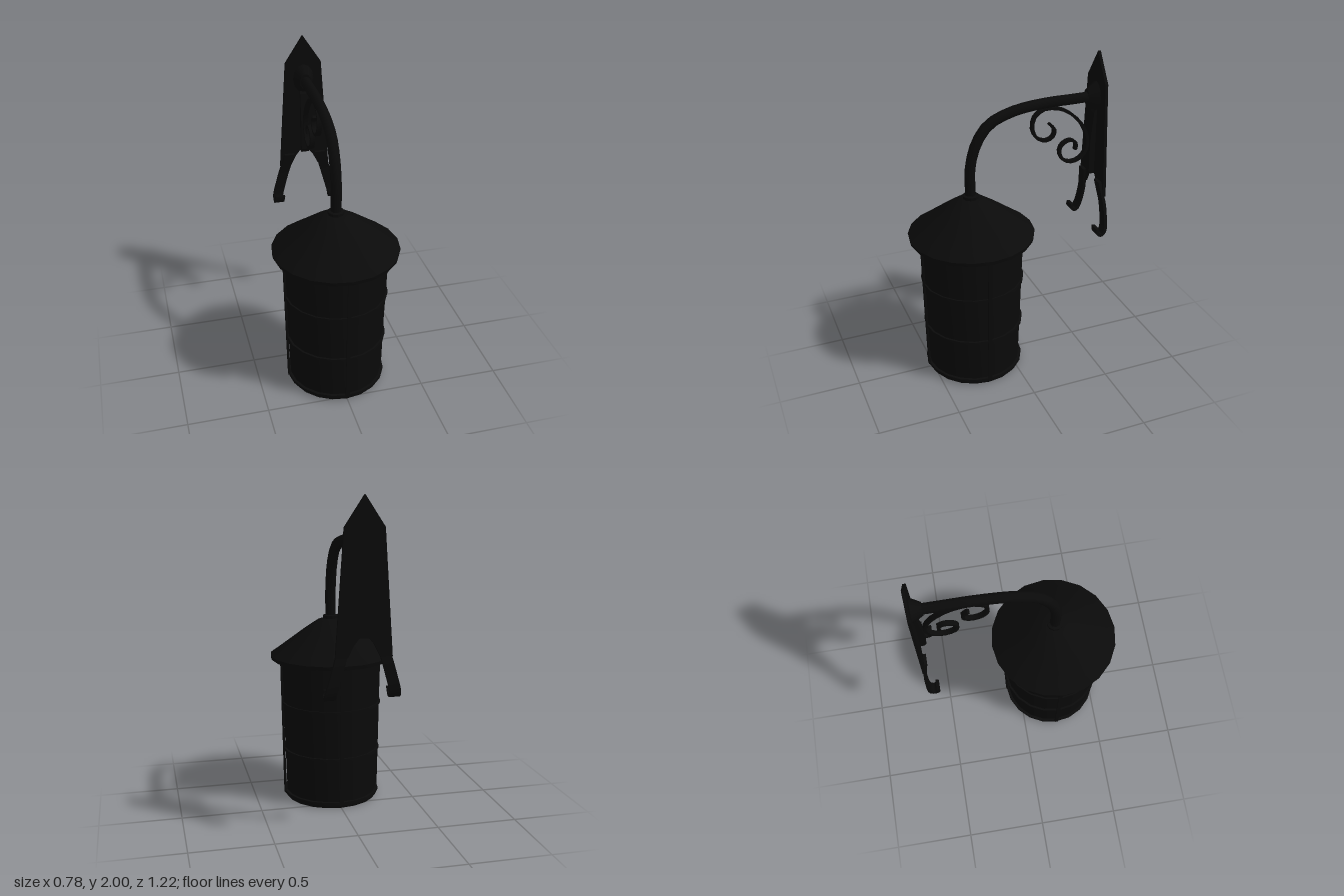
import * as THREE from 'three';
import { toCreasedNormals } from 'three/addons/utils/BufferGeometryUtils.js';

const AXIS_Z = 0.222; // lantern axis
const SIDES = 20;
const iron = new THREE.MeshStandardMaterial({ color: 0x0a0a0a });

function add(parent, name, geometry, x = 0, y = 0, z = 0) {
  const mesh = new THREE.Mesh(geometry, iron);
  mesh.name = name;
  mesh.position.set(x, y, z);
  parent.add(mesh);
  return mesh;
}

const lathe = (profile, sides = SIDES) => toCreasedNormals(
  new THREE.LatheGeometry(profile.map(([r, y]) => new THREE.Vector2(r, y)), sides), 0.6);

// Flat iron strip following a [z, y] path, with its width along x
function strip(path, thickness, width, samples) {
  const curve = new THREE.SplineCurve(path.map(([z, y]) => new THREE.Vector2(z, y)));
  const near = [], far = [];
  for (let i = 0; i <= samples; i++) {
    const p = curve.getPoint(i / samples), t = curve.getTangent(i / samples);
    const n = new THREE.Vector2(-t.y, t.x).multiplyScalar(thickness / 2);
    near.push(p.clone().add(n));
    far.unshift(p.clone().sub(n));
  }
  const g = new THREE.ExtrudeGeometry(new THREE.Shape([...near, ...far]), { depth: width, bevelEnabled: false });
  g.translate(0, 0, -width / 2).rotateY(-Math.PI / 2);
  return g;
}

function createLantern() {
  const lantern = new THREE.Group();
  lantern.name = 'lantern';
  lantern.position.z = AXIS_Z;

  add(lantern, 'roof', lathe([[0, 0.93], [0.335, 0.93], [0.385, 0.925], [0.391, 0.95], [0.335, 0.99],
    [0.17, 1.113], [0.085, 1.17], [0.05, 1.182], [0, 1.184]]));
  add(lantern, 'roofCollar', lathe([[0.05, 1.16], [0.05, 1.2], [0.03, 1.205]], 10));
  add(lantern, 'lampBody', lathe([[0.293, 0.02], [0.322, 0.935]]));
  add(lantern, 'base', lathe([[0, 0], [0.295, 0], [0.302, 0.012], [0.302, 0.03], [0, 0.03]]));

  // Hoops around the body
  for (const [r, y] of [[0.306, 0.032], [0.311, 0.325], [0.318, 0.635], [0.322, 0.92]]) {
    const w = 0.009;
    add(lantern, 'hoop', lathe([[r - 0.02, y - w], [r + 0.005, y - w], [r + 0.005, y + w], [r - 0.02, y + w]]));
  }

  // Upright bars, leaning out slightly toward the top
  for (let i = 0; i < 4; i++) {
    const pivot = new THREE.Group();
    pivot.name = 'uprightBar';
    pivot.rotation.y = i * Math.PI / 2;
    lantern.add(pivot);
    const bar = add(pivot, 'bar', new THREE.BoxGeometry(0.024, 0.91, 0.012), 0, 0.48, 0.316);
    bar.rotation.x = 0.018;
  }
  return lantern;
}

function createWallPlate() {
  const plate = new THREE.Group();
  plate.name = 'wallBracket';

  // Pointed back plate, notched between the legs
  const right = [[0.115, 1.825], [0.164, 1.11], [0.093, 1.11], [0.058, 1.18], [0.03, 1.215]];
  const outline = [[0, 2], ...right, [0, 1.225], ...right.map(([x, y]) => [-x, y]).reverse()];
  const shape = new THREE.Shape(outline.map(([x, y]) => new THREE.Vector2(x, y)));
  add(plate, 'backPlate', new THREE.ExtrudeGeometry(shape, { depth: 0.018, bevelEnabled: false }), 0, 0, -0.61);

  // Splayed legs with curled feet
  const legPath = [[-0.58, 1.2], [-0.59, 1.13], [-0.6, 1.06], [-0.6, 0.98], [-0.595, 0.915],
    [-0.578, 0.876], [-0.556, 0.872], [-0.539, 0.89], [-0.54, 0.918]];
  for (const side of [-1, 1]) {
    const g = strip(legPath, 0.019, 0.066, 18);
    const pos = g.attributes.position;
    for (let i = 0; i < pos.count; i++) {
      const drop = 1.11 - Math.max(pos.getY(i), 0.9);
      pos.setX(i, pos.getX(i) + side * (0.129 + drop * 0.28));
    }
    g.computeVertexNormals();
    add(plate, side > 0 ? 'leftLeg' : 'rightLeg', toCreasedNormals(g, 0.6));
  }

  // Raised rib below the arm
  const rib = new THREE.Shape([[-0.6, 1.66], [-0.575, 1.62], [-0.557, 1.42], [-0.556, 1.24], [-0.568, 1.215],
    [-0.6, 1.215]].map(([z, y]) => new THREE.Vector2(z, y)));
  const ribGeometry = new THREE.ExtrudeGeometry(rib, { depth: 0.05, bevelEnabled: false });
  add(plate, 'rib', ribGeometry.translate(0, 0, -0.025).rotateY(-Math.PI / 2));

  // Oval boss holding the arm
  const boss = new THREE.CylinderGeometry(0.036, 0.068, 0.065, 12);
  add(plate, 'armBoss', boss.rotateX(Math.PI / 2).scale(1, 1.4, 1), 0, 1.72, -0.562);
  return plate;
}

export function createModel() {
  const model = new THREE.Group();
  model.name = 'wallLantern';
  model.add(createLantern(), createWallPlate());

  // Bent pipe arm
  const armPath = [[AXIS_Z, 1.17], [AXIS_Z, 1.38], [0.178, 1.535], [0.1, 1.637], [-0.05, 1.697],
    [-0.25, 1.72], [-0.42, 1.72], [-0.59, 1.72]];
  const armCurve = new THREE.CatmullRomCurve3(armPath.map(([z, y]) => new THREE.Vector3(0, y, z)));
  add(model, 'arm', new THREE.TubeGeometry(armCurve, 18, 0.034, 8));

  // S-shaped scroll brace between arm and plate
  const scrollPath = [[-0.285, 1.585], [-0.32, 1.545], [-0.31, 1.5], [-0.265, 1.48], [-0.207, 1.503],
    [-0.175, 1.565], [-0.187, 1.64], [-0.25, 1.683], [-0.34, 1.675], [-0.42, 1.635], [-0.5, 1.555],
    [-0.543, 1.46], [-0.54, 1.385], [-0.5, 1.328], [-0.435, 1.312], [-0.378, 1.34], [-0.357, 1.4],
    [-0.382, 1.443], [-0.43, 1.458], [-0.468, 1.432], [-0.465, 1.39]];
  add(model, 'scrollBrace', toCreasedNormals(strip(scrollPath, 0.018, 0.03, 40), 0.6));
  return model;
}
